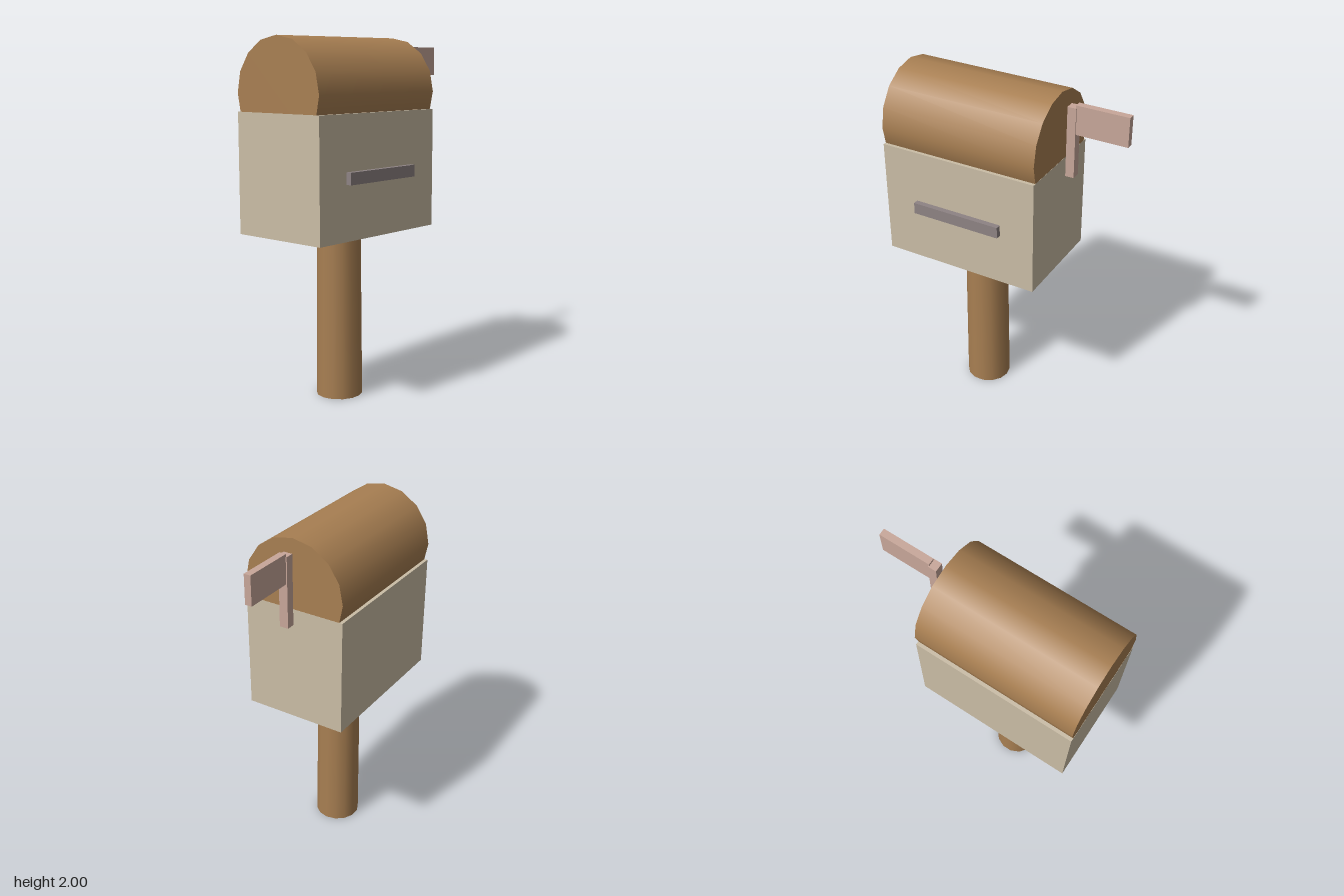
import * as THREE from 'three';

const mat = (name, color) => {
  const m = new THREE.MeshStandardMaterial({ color });
  m.name = name;
  return m;
};

export function createModel() {
  const wood = mat('brown wood', 0xa87f52);
  const cream = mat('cream', 0xcabda6);
  const pink = mat('dusty pink', 0xc8a79a);
  const grey = mat('warm grey', 0x8e8384);

  const group = new THREE.Group();
  group.name = 'mailbox';

  const add = (name, geometry, material) => {
    const mesh = new THREE.Mesh(geometry, material);
    mesh.name = name;
    group.add(mesh);
    return mesh;
  };

  // Box given by its lower and upper limits on each axis
  const addBox = (name, material, [x0, x1], [y0, y1], [z0, z1]) =>
    add(name, new THREE.BoxGeometry(x1 - x0, y1 - y0, z1 - z0), material)
      .position.set((x0 + x1) / 2, (y0 + y1) / 2, (z0 + z1) / 2);

  // Tapered post, its top set into the box
  const post = add('post', new THREE.CylinderGeometry(0.122, 0.13, 1.0, 14).rotateY(Math.PI / 2), wood);
  post.position.set(-0.192, 0.5, -0.016);

  // Body and the rounded roof sunk into it
  addBox('body', cream, [-0.655, 0.27], [0.945, 1.605], [-0.313, 0.281]);
  const roof = add('roof', new THREE.CylinderGeometry(0.297, 0.297, 0.923, 16).rotateZ(Math.PI / 2), wood);
  roof.position.set(-0.1925, 1.703, -0.016);

  // Front handle
  addBox('handle', grey, [-0.455, 0.07], [1.243, 1.308], [0.25, 0.312]);

  // Signal flag on the left side
  addBox('flagPole', pink, [0.311, 0.36], [1.54, 1.937], [-0.043, 0.008]);
  addBox('flag', pink, [0.355, 0.65], [1.789, 1.952], [-0.037, 0.002]);

  return group;
}
